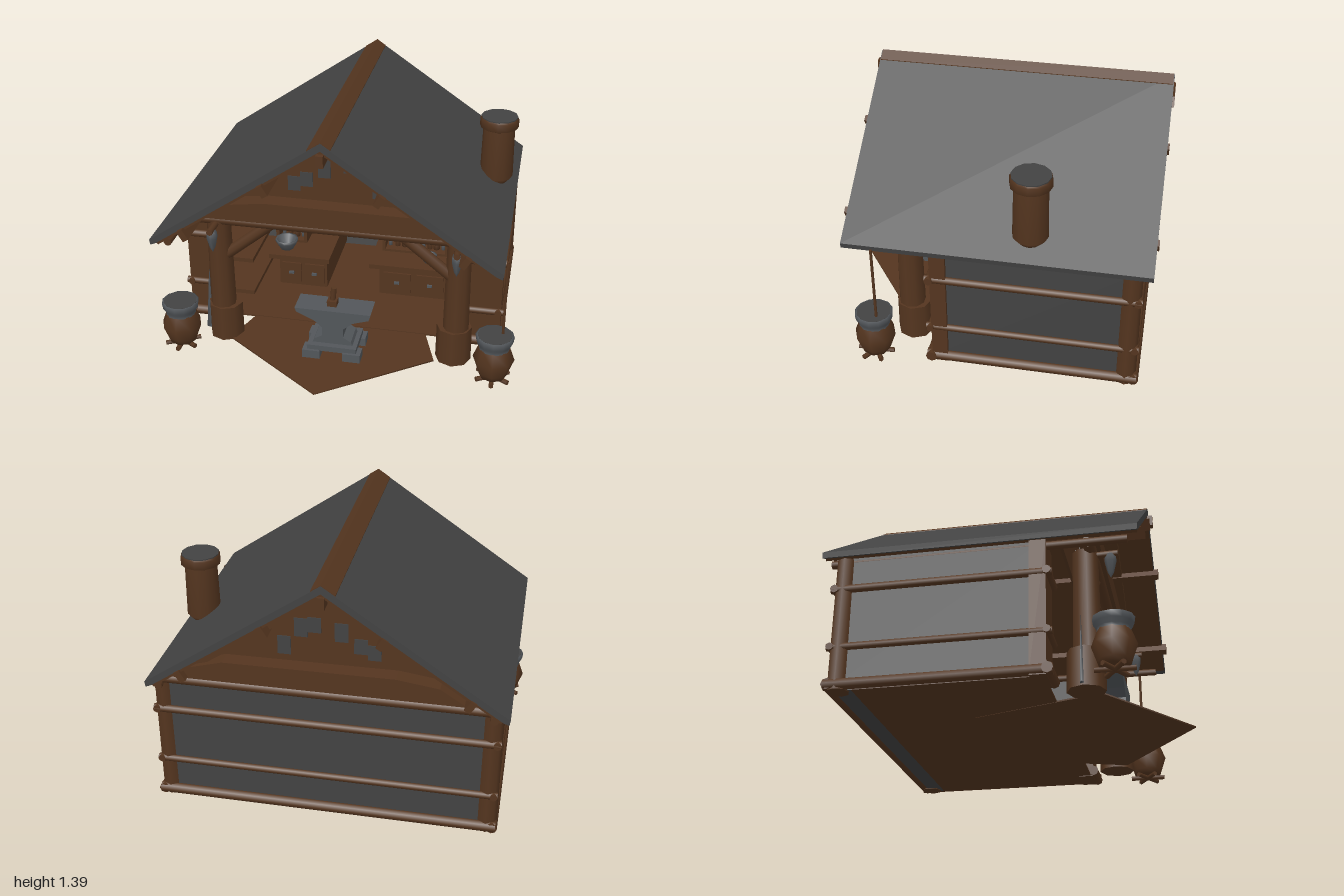
import * as THREE from 'three';

const mat = (name, color) => {
  const m = new THREE.MeshStandardMaterial({ color, side: THREE.DoubleSide });
  m.name = name;
  return m;
};

export function createModel() {
  const wood = mat('brown wood', 0x54351f);
  const slate = mat('dark grey slate', 0x424242);
  const metal = mat('worn metal', 0x52565a);
  const root = new THREE.Group();
  const CX = -0.02; // centre line of the building

  const add = (name, geo, material, x = 0, y = 0, z = 0, parent = root) => {
    const m = new THREE.Mesh(geo, material);
    m.name = name;
    m.position.set(x, y, z);
    parent.add(m);
    return m;
  };
  const box = (name, material, x0, x1, y0, y1, z0, z1) =>
    add(name, new THREE.BoxGeometry(x1 - x0, y1 - y0, z1 - z0), material, (x0 + x1) / 2, (y0 + y1) / 2, (z0 + z1) / 2);
  // round log between two points
  const log = (name, a, b, r, sides = 8) => {
    const p = new THREE.Vector3(...a), q = new THREE.Vector3(...b);
    const d = q.clone().sub(p);
    const m = add(name, new THREE.CylinderGeometry(r, r, d.length(), sides), wood);
    m.position.copy(p).add(q).multiplyScalar(0.5);
    m.quaternion.setFromUnitVectors(new THREE.Vector3(0, 1, 0), d.normalize());
    return m;
  };
  const lathe = (name, pts, material, x, y, z, sides = 10, parent = root) =>
    add(name, new THREE.LatheGeometry(pts.map(p => new THREE.Vector2(...p)), sides), material, x, y, z, parent);
  // flat outline in x and y, given depth from z0 to z1
  const slab = (name, pts, z0, z1, material) =>
    add(name, new THREE.ExtrudeGeometry(new THREE.Shape(pts.map(p => new THREE.Vector2(...p))),
      { depth: z1 - z0, bevelEnabled: false }), material, 0, 0, z0);

  // floor: pentagon yard and the room behind it, with a stone strip along the back
  add('yardFloor', new THREE.CylinderGeometry(0.62, 0.62, 0.008, 5), wood, -0.04, 0.006, 0.29);
  box('roomFloor', wood, -0.9, 0.87, 0.004, 0.014, -0.72, 0.24);
  box('stoneStrip', slate, -0.9, 0.87, 0.004, 0.014, -0.81, -0.72);

  // walls
  box('backWall', slate, -0.9, 0.86, 0.02, 0.76, -0.83, -0.81);
  for (const s of [-1, 1]) {
    const x = CX + s * 0.885;
    box('sideWall', slate, x - 0.01, x + 0.01, 0.02, 0.73, -0.82, 0.24);
    add('rearCornerPost', new THREE.CylinderGeometry(0.055, 0.058, 0.72, 8), wood, CX + s * 0.867, 0.36, -0.792);
    box('frontCornerPost', wood, CX + s * 0.825 - 0.09, CX + s * 0.825 + 0.09, 0, 0.73, 0.17, 0.255);
  }

  // logs running round three sides
  for (const [y, r] of [[0.03, 0.03], [0.23, 0.02], [0.55, 0.022]]) {
    log('backLog', [-0.94, y, -0.835], [0.9, y, -0.835], r);
    for (const s of [-1, 1]) {
      const x = CX + s * 0.9;
      log('sideLog', [x, y, -0.855], [x, y, 0.285], r);
      log('frontLog', [CX + s * 0.93, y, 0.26], [CX + s * 0.72, y, 0.26], r);
    }
  }

  // roof slopes, ridge board and wooden lining
  const AX = -0.03, AY = 1.388, Z0 = -0.9, Z1 = 0.715;
  for (const [ex, ey, ridgeWidth] of [[-0.975, 0.745, 0.072], [0.915, 0.745, 0.052]]) {
    const s = Math.sign(ex);
    const at = t => [AX + (ex - AX) * t, AY + (ey - AY) * t];
    const drop = (t, d) => [at(t)[0], at(t)[1] - d];
    slab('roofSlope', [at(0), at(1), [ex - s * 0.005, ey - 0.03], drop(0.96, 0.042), drop(0, 0.042)], Z0, Z1, slate);
    slab('roofLining', [drop(0, 0.042), drop(0.96, 0.042), drop(0.95, 0.058), drop(0, 0.058)], Z0 + 0.004, Z1 - 0.004, wood);
    const rt = ridgeWidth / Math.abs(ex - AX);
    slab('ridgeBoard', [drop(0, -0.004), drop(rt, -0.004), drop(rt, 0.004), drop(0, 0.004)], Z0 + 0.004, Z1 - 0.004, wood);
    // rafters under both gable edges
    for (const z of [-0.84, 0.46]) slab('gableRafter', [drop(0, 0.05), drop(0.88, 0.05), drop(0.84, 0.1), drop(0, 0.11)], z, z + 0.06, wood);
    // purlins poking out past the gables
    for (const t of [0.32, 0.79]) {
      const [px, py] = drop(t, 0.078);
      const p = add('purlin', new THREE.BoxGeometry(0.035, 0.065, 1.65), wood, px, py, -0.085);
      p.rotation.z = -s * 0.55;
    }
    // wall plate under the eave
    log('wallPlate', [CX + s * 0.875, 0.708, -0.87], [CX + s * 0.875, 0.708, 0.66], 0.022);
  }
  box('ridgePurlin', wood, AX - 0.02, AX + 0.02, 1.265, 1.33, -0.91, 0.74);

  // recessed gables with slate patches
  const patches = [[-0.2, 0.98], [-0.1, 1.06], [0.04, 1.08], [0.11, 1.07], [-0.27, 0.95], [0.2, 0.96]];
  for (const [z, dir] of [[-0.74, -1], [0.3, 1]]) {
    slab('gablePanel', [[-0.78, 0.77], [0.72, 0.77], [AX, 1.31]], z, z + 0.015, wood);
    patches.forEach(([x, y], i) => {
      const zz = dir > 0 ? z + 0.016 : z - 0.006;
      box('gablePatch', slate, x - 0.035, x + 0.035, y - 0.035 - (i % 2) * 0.02, y + 0.05, zz, zz + 0.005);
    });
  }

  // bowed tie beams and the straight logs beneath them
  const bowed = [[-0.76, 0.79], [0.78, 0.79], [0.7, 0.85], [0.5, 0.905], [-0.4, 0.91], [-0.62, 0.88]];
  slab('frontTieBeam', bowed, 0.4, 0.5, wood);
  slab('rearTieBeam', bowed.map(([x, y]) => [x, y - 0.015]), -0.87, -0.78, wood);
  log('frontLintel', [-0.8, 0.767, 0.45], [0.81, 0.767, 0.45], 0.033);
  log('rearLintel', [-0.88, 0.74, -0.83], [0.84, 0.74, -0.83], 0.028);

  // porch posts, braces and hanging lamps
  for (const s of [-1, 1]) {
    const x = CX + 0.01 + s * 0.67;
    add('porchPost', new THREE.CylinderGeometry(0.067, 0.075, 0.76, 9), wood, x, 0.38, 0.42);
    add('postFooting', new THREE.CylinderGeometry(0.098, 0.1, 0.21, 8), wood, x - s * 0.01, 0.105, 0.41);
    log('porchBrace', [x - s * 0.03, 0.53, 0.43], [x - s * 0.3, 0.75, 0.43], 0.033);
    log('postBracket', [x, 0.745, 0.42], [x, 0.75, 0.59], 0.018);
    lathe('lamp', [[0, 0.61], [0.016, 0.64], [0.03, 0.7], [0.03, 0.73], [0.012, 0.76], [0, 0.76]], metal, x, 0, 0.55, 6);
  }

  // chimney
  lathe('chimney', [[0, 0.8], [0.06, 0.8], [0.095, 0.84], [0.09, 1.14]], wood, 0.79, 0, -0.26, 12);
  lathe('chimneyCap', [[0.09, 1.135], [0.11, 1.145], [0.11, 1.19], [0.1, 1.203]], wood, 0.79, 0, -0.26, 12);
  add('chimneyTop', new THREE.CylinderGeometry(0.104, 0.104, 0.006, 12), slate, 0.79, 1.202, -0.26);

  // lidded barrels on crossed logs
  for (const s of [-1, 1]) {
    const g = new THREE.Group();
    g.name = 'barrel';
    g.position.set(s * 0.885, 0, 0.575);
    root.add(g);
    lathe('barrelBody', [[0, 0.03], [0.075, 0.03], [0.085, 0.06], [0.113, 0.14], [0.085, 0.215]], wood, 0, 0, 0, 8, g);
    lathe('barrelNeck', [[0.085, 0.21], [0.084, 0.228], [0.1, 0.25], [0.105, 0.283], [0.092, 0.287]], metal, 0, 0, 0, 12, g);
    add('barrelLid', new THREE.CylinderGeometry(0.094, 0.094, 0.008, 12), slate, 0, 0.283, 0, g);
    for (let i = 0; i < 3; i++) {
      const foot = add('barrelFoot', new THREE.CylinderGeometry(0.014, 0.014, 0.2, 6), wood, 0, 0.02, 0, g);
      foot.rotation.set(Math.PI / 2, 0, i * Math.PI / 3);
    }
  }
  // rope hanging from the eave
  log('rope', [0.925, 0.28, 0.55], [0.925, 0.73, 0.55], 0.008, 6);

  // anvil: stepped foot, waist, long top
  const AZ = 0.47;
  slab('anvilBody', [[-0.13, 0.085], [0.1, 0.085], [0.09, 0.11], [0.045, 0.135], [0.045, 0.19], [0.1, 0.235],
    [0.19, 0.265], [0.2, 0.3], [-0.23, 0.3], [-0.22, 0.275], [-0.12, 0.23], [-0.075, 0.19], [-0.075, 0.135], [-0.12, 0.11]],
    AZ - 0.075, AZ + 0.075, metal);
  box('anvilPlinth', metal, -0.155, 0.125, 0.055, 0.088, AZ - 0.11, AZ + 0.11);
  for (const x of [-0.13, 0.1]) for (const z of [-0.085, 0.085])
    box('anvilFoot', metal, x - 0.05, x + 0.05, 0.01, 0.06, AZ + z - 0.04, AZ + z + 0.04);
  log('hammerHandle', [-0.03, 0.3, AZ], [-0.02, 0.41, AZ], 0.016);
  box('hammerHead', wood, -0.055, 0.0, 0.302, 0.335, AZ - 0.03, AZ + 0.03);

  // counters with drawers
  for (const [x0, x1] of [[-0.5, -0.2], [0.13, 0.55]]) {
    box('counter', wood, x0, x1, 0.01, 0.2, -0.76, -0.15);
    box('counterTop', wood, x0 - 0.06, x1 + 0.02, 0.2, 0.228, -0.78, -0.12);
    for (const t of [0.26, 0.74]) {
      const x = x0 + (x1 - x0) * t, w = (x1 - x0) * 0.2;
      box('drawerFront', wood, x - w, x + w, 0.04, 0.17, -0.15, -0.138);
      box('drawerPull', metal, x - 0.015, x + 0.015, 0.1, 0.115, -0.138, -0.125);
    }
  }
  // side benches along the left wall
  for (const y of [0.1, 0.32]) box('sideBench', wood, -0.88, -0.58, y, y + 0.025, -0.35, 0.15);

  // open cabinets with jars on each board
  for (const [x0, x1, top, n] of [[-0.55, -0.37, 0.54, 4], [0.13, 0.33, 0.575, 4], [0.34, 0.52, 0.55, 4]]) {
    for (const x of [x0, x1]) box('cabinetSide', wood, x - 0.01, x + 0.01, 0.225, top, -0.55, -0.3);
    box('cabinetBack', wood, x0, x1, 0.225, top, -0.56, -0.545);
    for (let j = 0; j < 3; j++) {
      const y = 0.235 + j * (top - 0.245) / 2;
      box('cabinetBoard', wood, x0, x1, y - 0.008, y + 0.008, -0.55, -0.3);
      for (let i = 0; i < n; i++) {
        const r = 0.012 + ((i + j) % 3) * 0.004, h = 0.05 + ((i * 2 + j) % 3) * 0.018;
        lathe('jar', [[0, 0], [r, 0], [r, h * 0.65], [r * 0.5, h * 0.8], [r * 0.5, h], [0, h]], i % 3 ? wood : metal,
          x0 + (i + 0.7) * (x1 - x0) / (n + 0.4), j === 2 ? y - 0.01 : y + 0.008, -0.36, 7);
      }
    }
  }
  // long wall shelves with bowls and a round pot
  box('upperShelf', wood, -0.7, 0.52, 0.54, 0.565, -0.81, -0.62);
  box('lowerShelf', wood, -0.37, 0.13, 0.365, 0.39, -0.81, -0.62);
  const bowl = (x, y, z, r, m) => lathe('bowl', [[0, 0], [r * 0.6, 0], [r, r * 0.7], [r, r * 0.95], [r * 0.85, r * 0.9], [r * 0.5, r * 0.2], [0, r * 0.2]], m, x, y, z, 10);
  bowl(-0.26, 0.57, -0.7, 0.06, wood);
  bowl(0.0, 0.57, -0.7, 0.045, wood);
  bowl(-0.47, 0.23, -0.22, 0.07, metal);
  bowl(0.42, 0.23, -0.22, 0.05, metal);
  add('roundPot', new THREE.SphereGeometry(0.05, 12, 8), wood, -0.02, 0.445, -0.68);
  // blade leaning by the left porch post
  const blade = add('leaningBlade', new THREE.ConeGeometry(0.035, 0.4, 4), metal, -0.765, 0.21, 0.4);
  blade.scale.z = 0.3;
  return root;
}
